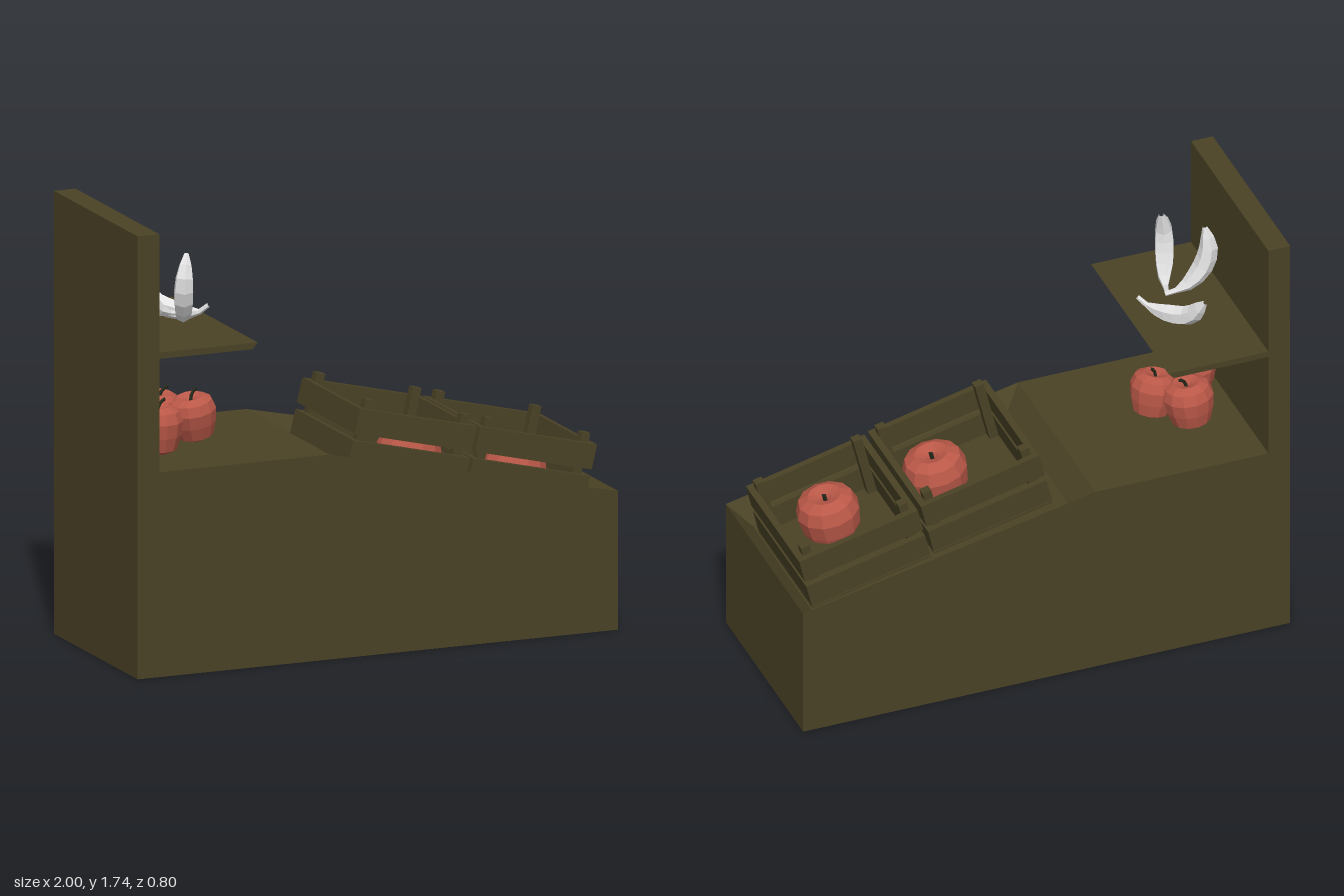
import * as THREE from 'three';

const wood = new THREE.MeshStandardMaterial({ color: 0x4a4225 });
wood.name = 'olive wood';
const red = new THREE.MeshStandardMaterial({ color: 0xba5848 });
red.name = 'apple red';
const pale = new THREE.MeshStandardMaterial({ color: 0xe2e2e2 });
pale.name = 'banana white';
const dark = new THREE.MeshStandardMaterial({ color: 0x23281a });
dark.name = 'stem dark green';

function add(parent, name, geometry, material) {
  const mesh = new THREE.Mesh(geometry, material);
  mesh.name = name;
  parent.add(mesh);
  return mesh;
}

// Give every face its own normal
function faceted(geometry) {
  const g = geometry.index ? geometry.toNonIndexed() : geometry;
  g.computeVertexNormals();
  return g;
}

// Box from minimum and maximum corners
function box(parent, name, [x0, y0, z0], [x1, y1, z1]) {
  const g = new THREE.BoxGeometry(x1 - x0, y1 - y0, z1 - z0);
  g.translate((x0 + x1) / 2, (y0 + y1) / 2, (z0 + z1) / 2);
  return add(parent, name, g, wood);
}

// Counter: flat top, then a sloping top with a bevelled recess
function counterGeometry() {
  const pos = [];
  const quad = (a, b, c, d) => pos.push(...a, ...b, ...c, ...a, ...c, ...d);
  const Z = 0.4;
  const top = [[-1, 0.805], [-0.2, 0.805], [1, 0.545]];
  for (let i = 0; i < 2; i++) {
    const [x0, y0] = top[i], [x1, y1] = top[i + 1];
    quad([x0, 0, Z], [x1, 0, Z], [x1, y1, Z], [x0, y0, Z]);
    quad([x1, 0, -Z], [x0, 0, -Z], [x0, y0, -Z], [x1, y1, -Z]);
  }
  quad([-1, 0.805, Z], [-0.2, 0.805, Z], [-0.2, 0.805, -Z], [-1, 0.805, -Z]);
  quad([1, 0, Z], [1, 0, -Z], [1, 0.545, -Z], [1, 0.545, Z]);
  quad([-1, 0, -Z], [-1, 0, Z], [-1, 0.805, Z], [-1, 0.805, -Z]);
  quad([-1, 0, -Z], [1, 0, -Z], [1, 0, Z], [-1, 0, Z]);
  const rim = [[-0.2, 0.805, Z], [1, 0.545, Z], [1, 0.545, -Z], [-0.2, 0.805, -Z]];
  const bed = [[-0.12, 0.72, 0.325], [0.92, 0.472, 0.325], [0.92, 0.472, -0.325], [-0.12, 0.72, -0.325]];
  for (let i = 0; i < 4; i++) {
    const j = (i + 1) % 4;
    quad(rim[i], rim[j], bed[j], bed[i]);
  }
  quad(...bed);
  const g = new THREE.BufferGeometry();
  g.setAttribute('position', new THREE.Float32BufferAttribute(pos, 3));
  return faceted(g);
}

// Slatted crate, with its origin at the upper end of its top edge
function makeCrate() {
  const crate = new THREE.Group();
  crate.name = 'crate';
  const L = 0.5, W = 0.277, T = 0.026, P = 0.036;
  for (const [y0, y1] of [[-0.098, 0], [-0.223, -0.125]]) {
    for (const s of [-1, 1]) {
      const z = s * (W - T / 2);
      box(crate, 'sideSlat', [0, y0, z - T / 2], [L, y1, z + T / 2]);
    }
    for (const x of [0, L - T]) box(crate, 'endSlat', [x, y0, T - W], [x + T, y1, W - T]);
  }
  for (const x of [T, L - T - P]) {
    for (const z of [T - W, W - T - P]) {
      box(crate, 'cornerPost', [x, -0.24, z], [x + P, 0.035, z + P]);
    }
  }
  box(crate, 'crateFloor', [0, -0.245, -W], [L, -0.227, W]);
  return crate;
}

// Apple standing on its origin
const appleProfile = [[0, 0.012], [0.045, 0], [0.075, 0.015], [0.092, 0.07], [0.1, 0.125],
  [0.086, 0.165], [0.052, 0.183], [0.02, 0.172], [0, 0.155]].map(p => new THREE.Vector2(...p));

function makeApple(stemmed) {
  const apple = new THREE.Group();
  apple.name = 'apple';
  add(apple, 'appleBody', faceted(new THREE.LatheGeometry(appleProfile, 12)), red);
  const tip = stemmed ? [0.035, 0.205, -0.01] : [0.003, 0.182, 0];
  const path = new THREE.QuadraticBezierCurve3(new THREE.Vector3(0, 0.15, 0),
    new THREE.Vector3(0, 0.195, 0), new THREE.Vector3(...tip));
  add(apple, 'appleStem', faceted(new THREE.TubeGeometry(path, 4, 0.007, 5)), dark);
  return apple;
}

// Banana: a six-sided tube whose radius follows the length, stem first
function bananaGeometry(points) {
  const path = new THREE.CatmullRomCurve3(points.map(p => new THREE.Vector3(...p)));
  const radii = [0.009, 0.011, 0.026, 0.036, 0.04, 0.04, 0.036, 0.026, 0.009];
  const n = radii.length - 1, sides = 6;
  const g = new THREE.TubeGeometry(path, n, 1, sides);
  const p = g.attributes.position, v = new THREE.Vector3();
  for (let i = 0; i <= n; i++) {
    const c = path.getPointAt(i / n);
    for (let j = 0; j <= sides; j++) {
      const k = i * (sides + 1) + j;
      v.fromBufferAttribute(p, k).sub(c).multiplyScalar(radii[i]).add(c);
      p.setXYZ(k, v.x, v.y, v.z);
    }
  }
  return faceted(g);
}

export function createModel() {
  const model = new THREE.Group();
  model.name = 'fruitStand';

  add(model, 'counter', counterGeometry(), wood);
  box(model, 'backPanel', [-1, 0.805, -0.4], [-0.91, 1.74, 0.4]);

  // Shelf with a slanted front edge
  const shelf = new THREE.Shape([[-0.91, 1.25], [-0.522, 1.25], [-0.5, 1.275], [-0.91, 1.275]]
    .map(p => new THREE.Vector2(...p)));
  add(model, 'shelf', new THREE.ExtrudeGeometry(shelf, { depth: 0.8, bevelEnabled: false })
    .translate(0, 0, -0.4), wood);

  // Two crates on the slope
  for (const [x, y, z] of [[-0.02, 0.94, 0.002], [0.483, 0.818, -0.006]]) {
    const crate = makeCrate();
    crate.position.set(x, y, z);
    crate.rotation.z = -0.236;
    model.add(crate);
  }

  // Apples: position, tilt about x and z, scale, stem
  const apples = [
    [-0.79, 0.805, 0.105, 0, 0, 1, true],
    [-0.715, 0.81, -0.1, 0.08, -0.1, 1, true],
    [-0.585, 0.82, 0, 0.1, 0.18, 0.95, true],
    [0.23, 0.563, 0.1, 0, -0.2, 1.27, false],
    [0.66, 0.467, 0.125, 0, -0.2, 1.24, false],
  ];
  for (const [x, y, z, rx, rz, s, stemmed] of apples) {
    const apple = makeApple(stemmed);
    apple.position.set(x, y, z);
    apple.rotation.set(rx, 0, rz);
    apple.scale.setScalar(s);
    model.add(apple);
  }

  // Bananas on the shelf
  const bananas = [
    [[-0.66, 1.325, 0.04], [-0.74, 1.34, 0.04], [-0.813, 1.41, 0.04], [-0.838, 1.5, 0.036], [-0.825, 1.595, 0.042]],
    [[-0.67, 1.325, 0.04], [-0.69, 1.33, 0.12], [-0.715, 1.4, 0.183], [-0.722, 1.5, 0.207], [-0.7, 1.595, 0.178]],
    [[-0.545, 1.345, 0.035], [-0.575, 1.315, 0.01], [-0.63, 1.31, -0.06], [-0.69, 1.335, -0.14], [-0.725, 1.43, -0.215]],
  ];
  for (const points of bananas) add(model, 'banana', bananaGeometry(points), pale);

  return model;
}
